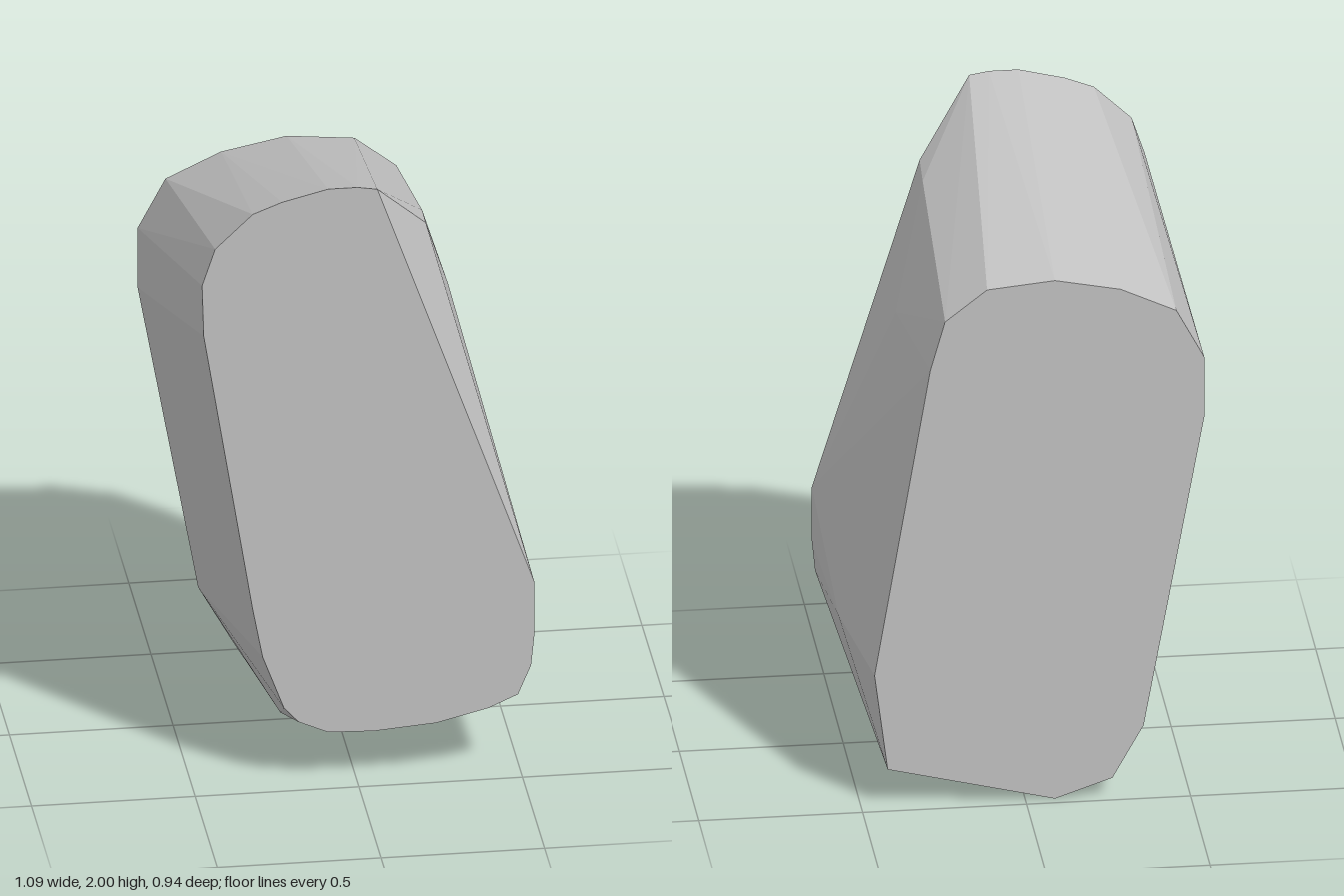
import * as THREE from 'three';
import { ConvexGeometry } from 'three/addons/geometries/ConvexGeometry.js';

export function createModel() {
  const group = new THREE.Group();
  group.name = 'facetedBlock';

  const stone = new THREE.MeshStandardMaterial({ color: 0xc0c0c0, flatShading: true });
  stone.name = 'stone grey';

  // Outline of the flat front end
  const front = [
    [-0.09, 2], [0, 2], [0.06, 1.99], [0.54, 0.64], [0.54, 0.46], [0.53, 0.36],
    [0.49, 0.265], [0.4, 0.225], [0.24, 0.185], [0.05, 0.17], [-0.09, 0.175],
    [-0.18, 0.215], [-0.225, 0.265], [-0.29, 0.44], [-0.32, 0.6], [-0.47, 1.53],
    [-0.475, 1.7], [-0.435, 1.82], [-0.32, 1.93], [-0.23, 1.965],
  ];
  // Outline of the lower, shifted back end
  const back = [
    [-0.09, 1.73], [0.117, 1.71], [0.245, 1.61], [0.29, 1.45], [0.46, 0.44],
    [0.42, 0.125], [-0.09, 0], [-0.265, 0.06], [-0.36, 0.23], [-0.545, 1.25],
    [-0.545, 1.45], [-0.46, 1.61], [-0.29, 1.69],
  ];
  // Corners between the ends: chipped upper left edge and rounded underside
  const between = [
    [0.23, 1.79, 0.31], [0.235, 1.775, 0.19], [0.34, 1.43, 0], [0.515, 0.43, 0],
    [0.05, 0.06, 0], [0.12, 0.037, -0.22], [-0.2, 0.12, 0.2],
  ];

  const points = [
    ...front.map(([x, y]) => new THREE.Vector3(x, y, 0.47)),
    ...back.map(([x, y]) => new THREE.Vector3(x, y, -0.47)),
    ...between.map((p) => new THREE.Vector3(...p)),
  ];
  const body = new THREE.Mesh(new ConvexGeometry(points), stone);
  body.name = 'body';
  group.add(body);
  return group;
}
